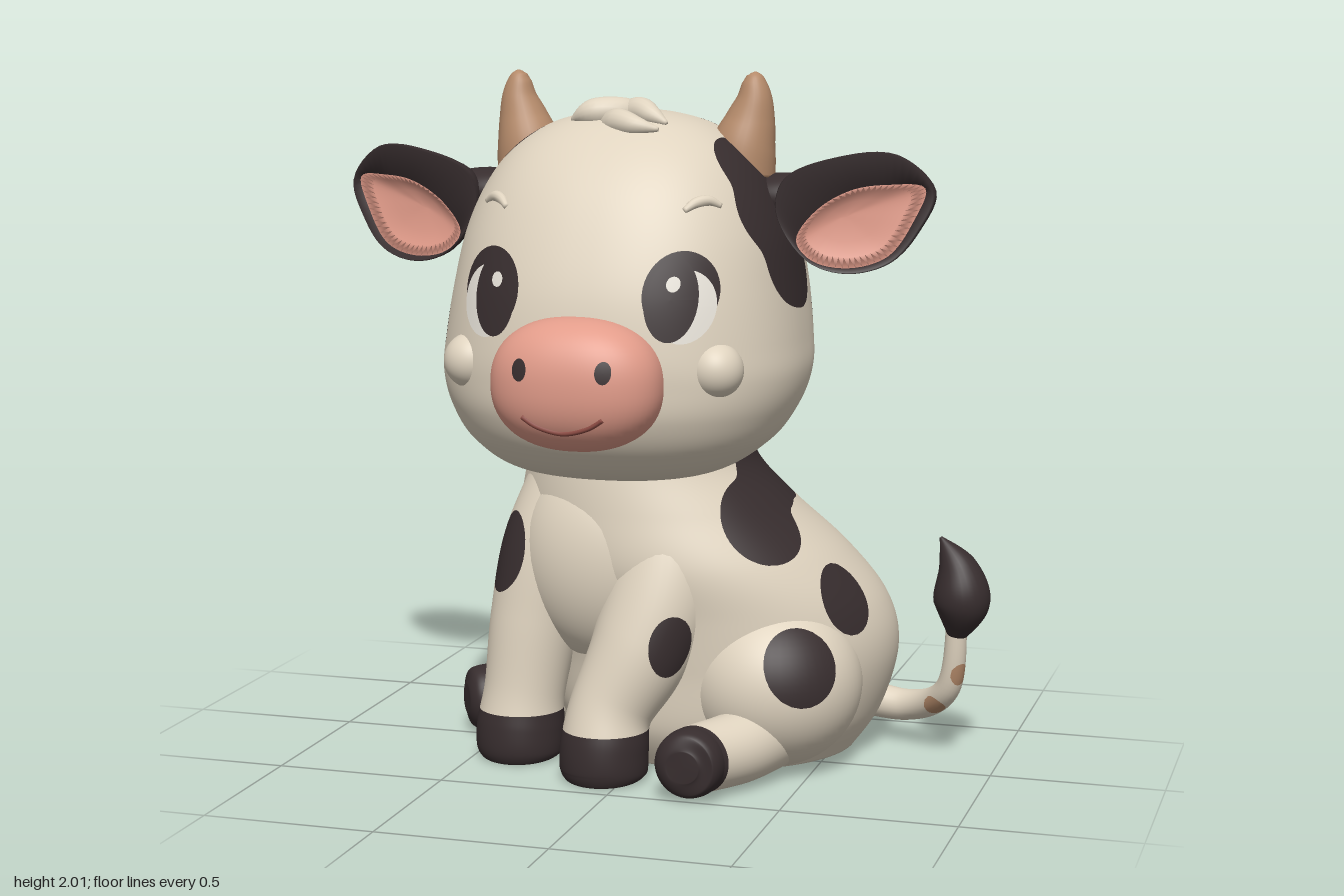
import * as THREE from 'three';

const mat = (name, color) => Object.assign(new THREE.MeshStandardMaterial({ color }), { name });
const V = (x, y, z) => new THREE.Vector3(x, y, z);

// Smooth interpolation down the columns of a small table, t = 0..1
const sample = (rows, t) => rows[0].map((_, c) =>
  new THREE.SplineCurve(rows.map(r => new THREE.Vector2(r[c], 0))).getPoint(t).x);

// Skin over rings of points, closed at both ends
function loft(rings) {
  const mid = ring => ring.reduce((s, p) => s.add(p), V(0, 0, 0)).divideScalar(ring.length);
  const n = rings[0].length, index = [];
  const first = mid(rings[0]), last = mid(rings[rings.length - 1]);
  const all = [rings[0].map(() => first), ...rings, rings[0].map(() => last)];
  for (let i = 0; i < all.length - 1; i++) for (let j = 0; j < n; j++) {
    const a = i * n + j, b = i * n + (j + 1) % n;
    if (i > 0) index.push(a, b, a + n);
    if (i < all.length - 2) index.push(b, b + n, a + n);
  }
  const g = new THREE.BufferGeometry().setFromPoints(all.flat());
  g.setIndex(index);
  g.computeVertexNormals();
  return g;
}

// Tapered limb along rows of [x, y, z, radius]
function limb(rows, seg = 32, sides = 32, ref = V(0, 0, 1)) {
  return loft(Array.from({ length: seg + 1 }, (_, i) => {
    const t = i / seg, [x, y, z, r] = sample(rows, t);
    const T = V(...sample(rows, Math.min(1, t + 0.01))).sub(V(...sample(rows, Math.max(0, t - 0.01)))).normalize();
    const n = ref.clone().cross(T).normalize(), b = T.clone().cross(n), s = Math.max(r, 0.001);
    return Array.from({ length: sides }, (_, j) => {
      const a = j / sides * Math.PI * 2;
      return V(x, y, z).addScaledVector(n, s * Math.cos(a)).addScaledVector(b, s * Math.sin(a));
    });
  }));
}

// Cut a surface where a field is zero: the negative side becomes the second colour group
function paint(g, field) {
  const pos = [...g.attributes.position.array], nor = [...g.attributes.normal.array], ix = g.index.array;
  const plain = [], marked = [], f = [];
  for (let i = 0; i < pos.length; i += 3) f.push(field(V(pos[i], pos[i + 1], pos[i + 2])));
  const cut = (a, b) => {
    const t = f[a] / (f[a] - f[b]);
    for (const arr of [pos, nor]) for (let k = 0; k < 3; k++)
      arr.push(arr[a * 3 + k] * (1 - t) + arr[b * 3 + k] * t);
    return pos.length / 3 - 1;
  };
  for (let i = 0; i < ix.length; i += 3) {
    const tri = [ix[i], ix[i + 1], ix[i + 2]], count = tri.filter(v => f[v] < 0).length;
    if (count % 3 === 0) { (count ? marked : plain).push(...tri); continue; }
    const k = tri.findIndex(v => (f[v] < 0) === (count === 1));
    const a = tri[k], b = tri[(k + 1) % 3], c = tri[(k + 2) % 3], p = cut(a, b), q = cut(a, c);
    (count === 1 ? marked : plain).push(a, p, q);
    (count === 1 ? plain : marked).push(p, b, c, p, c, q);
  }
  const out = new THREE.BufferGeometry();
  out.setAttribute('position', new THREE.Float32BufferAttribute(pos, 3));
  out.setAttribute('normal', new THREE.Float32BufferAttribute(nor, 3));
  out.setIndex([...plain, ...marked]);
  out.addGroup(0, plain.length, 0);
  out.addGroup(plain.length, marked.length, 1);
  return out;
}

// Melting spots [x, y, z, radius, vertical stretch]; with a centre they are projected outward from it
const spotted = (list, centre) => p => -Math.log(list.reduce((sum, [x, y, z, r, k = 1]) => {
  const s = V(x, y, z), q = p.clone();
  if (centre) {
    s.sub(centre);
    q.sub(centre).setLength(s.length());
  }
  q.sub(s);
  return sum + Math.exp(-45 * (Math.hypot(q.x, q.y / k, q.z) - r));
}, 0)) / 45;

function mirrorX(g) {
  const m = g.clone().scale(-1, 1, 1), a = m.index.array;
  for (let i = 0; i < a.length; i += 3) [a[i], a[i + 1]] = [a[i + 1], a[i]];
  m.computeVertexNormals();
  return m;
}

// Ellipsoid, boxier when e is above 2
function ball(rx, ry, rz, x, y, z, e = 2) {
  const g = new THREE.SphereGeometry(1, 56, 36), p = g.attributes.position;
  for (let i = 0; i < p.count; i++) {
    const q = V(0, 0, 0).fromBufferAttribute(p, i);
    q.divideScalar((Math.abs(q.x) ** e + Math.abs(q.y) ** e + Math.abs(q.z) ** e) ** (1 / e));
    p.setXYZ(i, x + q.x * rx, y + q.y * ry, z + q.z * rz);
  }
  g.computeVertexNormals();
  return g;
}

// Stack of superellipse rings from rows [y, cx, cz, rx, rz]
function stack(rows, seg, sides, e) {
  const pw = v => Math.sign(v) * Math.abs(v) ** (2 / e);
  return loft(Array.from({ length: seg + 1 }, (_, i) => {
    const [y, cx, cz, rx, rz] = sample(rows, i / seg);
    return Array.from({ length: sides }, (_, j) => {
      const a = j / sides * Math.PI * 2;
      return V(cx + rx * pw(Math.sin(a)), y, cz + rz * pw(Math.cos(a)));
    });
  }));
}

// Thin elliptical plate lying on a surface z = surf(x, y)
function decal(surf, x, y, rx, ry, lift) {
  const g = new THREE.RingGeometry(0, 1, 40, 6).scale(rx, ry, 1).translate(x, y, 0), p = g.attributes.position;
  for (let i = 0; i < p.count; i++) p.setZ(i, surf(p.getX(i), p.getY(i)) + lift);
  g.computeVertexNormals();
  return g;
}

export function createModel() {
  const cream = mat('cream hide', 0xdfd3bf), dark = mat('dark hide', 0x372d2e);
  const pink = mat('pink skin', 0xe29c8a), horn = mat('horn', 0xb48a6a);
  const white = mat('eye white', 0xf3eee4), rose = mat('mouth line', 0x8a4a42);
  const model = new THREE.Group(), body = new THREE.Group(), head = new THREE.Group(), hide = [cream, dark];
  body.name = 'body'; head.name = 'head';
  head.position.x = -0.083;
  model.add(body, head);
  const add = (parent, name, g, m) => parent.add(Object.assign(new THREE.Mesh(g, m), { name }));

  // Torso, chest and thighs
  const torso = stack([[0, 0.14, -0.19, 0.41, 0.39], [0.12, 0.14, -0.185, 0.49, 0.45], [0.3, 0.15, -0.185, 0.53, 0.465],
    [0.45, 0.12, -0.17, 0.53, 0.465], [0.6, 0.05, -0.13, 0.49, 0.45], [0.75, -0.02, -0.08, 0.41, 0.385],
    [0.88, -0.06, -0.05, 0.34, 0.335], [1.0, -0.06, -0.05, 0.32, 0.31]], 80, 120, 2);
  add(body, 'torso', paint(torso, spotted([[0.36, 0.73, 0.13, 0.135], [0.32, 0.83, -0.03, 0.11], [0.33, 0.84, -0.15, 0.09],
    [0.3, 0.84, -0.25, 0.08], [0.25, 0.81, -0.38, 0.08], [0.57, 0.5, 0.03, 0.09, 1.2], [0.53, 0.34, -0.45, 0.135, 1.1],
    [0.29, 0.58, -0.54, 0.125], [-0.07, 0.6, -0.53, 0.12], [-0.37, 0.55, -0.2, 0.12]], V(0.1, 0.4, -0.15))), hide);
  add(body, 'chest', ball(0.28, 0.32, 0.22, -0.11, 0.6, 0.1), cream);
  add(body, 'leftThigh', paint(ball(0.26, 0.25, 0.26, 0.37, 0.25, 0.07),
    spotted([[0.48, 0.33, 0.23, 0.09, 1.1]], V(0.37, 0.25, 0.07))), hide);
  add(body, 'rightThigh', paint(ball(0.24, 0.25, 0.23, -0.15, 0.25, -0.37),
    spotted([[-0.27, 0.2, -0.55, 0.095]], V(-0.15, 0.25, -0.37))), hide);

  // Hind legs stretched forward, hooves at the tips
  const up = V(0, 1, 0);
  add(body, 'leftHindLeg', paint(limb([[0.39, 0.13, 0.1, 0.12], [0.33, 0.105, 0.28, 0.105], [0.25, 0.1, 0.42, 0.098],
    [0.235, 0.1, 0.48, 0.098], [0.23, 0.1, 0.515, 0.086], [0.23, 0.1, 0.53, 0.045]], 50, 44, up),
    spotted([[0.225, 0.1, 0.54, 0.145]])), hide);
  add(body, 'rightHindLeg', paint(limb([[-0.26, 0.13, -0.28, 0.12], [-0.39, 0.105, -0.18, 0.105], [-0.52, 0.1, -0.07, 0.098],
    [-0.565, 0.1, -0.035, 0.098], [-0.595, 0.1, -0.01, 0.086], [-0.61, 0.1, 0.0, 0.045]], 50, 44, up),
    spotted([[-0.62, 0.1, 0.01, 0.145]])), hide);

  // Front legs
  const foreSpots = spotted([[-0.4, 0.61, 0.2, 0.085, 1.5], [0.165, 0.39, 0.37, 0.08, 1.25]]);
  const fore = p => Math.min(p.y - 0.14, foreSpots(p));
  add(body, 'rightFrontLeg', paint(limb([[-0.22, 0.86, 0.05, 0.13], [-0.29, 0.62, 0.1, 0.15], [-0.335, 0.4, 0.14, 0.135],
    [-0.36, 0.2, 0.17, 0.12], [-0.37, 0.09, 0.18, 0.13], [-0.37, 0.02, 0.185, 0.128], [-0.37, 0, 0.185, 0.11]], 72, 48), fore), hide);
  add(body, 'leftFrontLeg', paint(limb([[0.06, 0.8, 0.05, 0.17], [0.08, 0.58, 0.16, 0.17], [0.03, 0.37, 0.25, 0.15],
    [-0.045, 0.2, 0.31, 0.122], [-0.06, 0.09, 0.335, 0.128], [-0.06, 0.02, 0.34, 0.126], [-0.06, 0, 0.34, 0.11]], 72, 48), fore), hide);

  // Tail with tuft
  add(body, 'tail', paint(limb([[0.45, 0.15, -0.3, 0.06], [0.69, 0.11, -0.28, 0.047], [0.84, 0.2, -0.17, 0.037],
    [0.87, 0.42, -0.14, 0.03]], 40, 24), spotted([[0.89, 0.25, -0.13, 0.035], [0.8, 0.14, -0.17, 0.035]])), [cream, horn]);
  add(body, 'tailTuft', limb([[0.87, 0.37, -0.14, 0.03], [0.885, 0.47, -0.13, 0.082], [0.87, 0.57, -0.13, 0.06],
    [0.82, 0.66, -0.13, 0.004]], 30, 28), dark);

  // Skull: rows [y, half width, front z, back z]
  const skull = [[0.835, 0.02, 0.17, 0.13], [0.87, 0.29, 0.35, -0.12], [0.95, 0.43, 0.455, -0.31], [1.05, 0.5, 0.51, -0.43],
    [1.15, 0.53, 0.522, -0.485], [1.25, 0.525, 0.52, -0.52], [1.4, 0.505, 0.495, -0.535], [1.55, 0.475, 0.44, -0.495],
    [1.68, 0.42, 0.37, -0.42], [1.78, 0.345, 0.285, -0.325], [1.85, 0.24, 0.19, -0.22], [1.885, 0.12, 0.09, -0.12],
    [1.895, 0.01, 0, -0.02]].map(([y, w, f, b]) => [y, 0, (f + b) / 2, w, (f - b) / 2]);
  add(head, 'skull', paint(stack(skull, 100, 140, 2.3), spotted([
    [0.45, 1.62, 0.13, 0.12], [0.48, 1.47, 0.07, 0.12], [0.49, 1.44, -0.01, 0.1], [0.36, 1.73, 0.08, 0.11], [0.44, 1.62, -0.05, 0.11],
    [-0.32, 1.76, -0.03, 0.14], [-0.24, 1.78, -0.22, 0.12], [-0.42, 1.6, -0.12, 0.13], [-0.36, 1.7, -0.15, 0.12],
    [0.11, 1.82, -0.27, 0.12], [0.19, 1.8, -0.16, 0.09], [0.22, 1.57, -0.44, 0.1, 1.2],
    [0.42, 1.3, -0.28, 0.135], [-0.42, 1.28, -0.23, 0.13], [-0.52, 1.27, 0.13, 0.12]], V(0, 1.35, 0))), hide);
  const faceZ = (x, y) => {
    let lo = 0, hi = 1;
    for (let i = 0; i < 18; i++) {
      const m = (lo + hi) / 2;
      if (sample(skull, m)[0] < y) lo = m; else hi = m;
    }
    const [, , cz, rx, rz] = sample(skull, lo);
    return cz + rz * Math.max(0, 1 - Math.abs(x / rx) ** 2.3) ** (1 / 2.3);
  };

  // Muzzle
  const e = 2.3;
  add(head, 'muzzle', ball(0.245, 0.187, 0.16, 0, 1.16, 0.495, e), pink);
  const muzzleZ = (x, y) => 0.495 + 0.16 * Math.max(0, 1 - Math.abs(x / 0.245) ** e - Math.abs((y - 1.16) / 0.187) ** e) ** (1 / e);
  add(head, 'smile', limb([-0.115, -0.07, 0, 0.07, 0.115].map(x => {
    const y = 1.04 + 3.2 * x * x;
    return [x, y, muzzleZ(x, y), 0.007];
  }), 28, 8), rose);

  // Ear: rounded back, rim, pink hollow (matched outlines)
  const closed = pts => new THREE.CatmullRomCurve3(pts.map(([x, y]) => V(x, y, 0)), true).getPoints(54).slice(0, 54);
  const rim = closed([[0.888, 1.67], [0.783, 1.775], [0.623, 1.768], [0.473, 1.705], [0.45, 1.61], [0.538, 1.475],
    [0.653, 1.438], [0.773, 1.47], [0.848, 1.56]]);
  const inner = closed([[0.86, 1.68], [0.763, 1.69], [0.663, 1.675], [0.563, 1.615], [0.508, 1.53], [0.553, 1.474],
    [0.658, 1.454], [0.763, 1.487], [0.83, 1.585]]);
  const ring = (pts, s, dz) => pts.map(p => {
    const x = 0.64 + (p.x - 0.64) * s;
    return V(x, 1.6 + (p.y - 1.6) * s, 0.065 - 0.6 * Math.max(0, x - 0.47) ** 2 + dz);
  });
  const ear = loft([...[0.08, 0.3, 0.5, 0.7, 0.84, 0.94, 0.99].map(s => ring(rim, s, -0.2 * Math.sqrt(1 - s * s))),
    ring(rim, 1, 0), ring(rim, 0.975, 0.012), ring(inner, 1, -0.008), ring(inner, 0.9, -0.05), ring(inner, 0.1, -0.07)]);
  const hollow = loft([ring(inner, 1, -0.006), ring(inner, 0.8, -0.02), ring(inner, 0.5, -0.032), ring(inner, 0.1, -0.036)]);
  const hornShape = limb([[0.315, 1.72, -0.04, 0.105], [0.327, 1.79, -0.04, 0.094], [0.345, 1.86, -0.045, 0.074],
    [0.357, 1.92, -0.045, 0.054], [0.356, 1.97, -0.045, 0.036], [0.352, 1.993, -0.045, 0.02], [0.35, 1.999, -0.045, 0.006]], 40, 28);

  for (const [side, s] of [['left', 1], ['right', -1]]) {
    const face = g => s > 0 ? g : mirrorX(g);
    add(head, side + 'Ear', face(ear), dark);
    add(head, side + 'EarHollow', face(hollow), pink);
    add(head, side + 'EarRoot', ball(0.17, 0.07, 0.1, s * 0.45, 1.645, -0.05), dark);
    add(head, side + 'Horn', face(hornShape), horn);
    add(head, side + 'Cheek', ball(0.08, 0.08, 0.08, s * 0.358, 1.195, 0.368), cream);
    // Eye layers
    add(head, side + 'Lashes', decal(faceZ, s * 0.275, 1.41, 0.096, 0.115, 0.004), dark);
    add(head, side + 'EyeWhite', decal(faceZ, s * 0.287, 1.375, 0.08, 0.1, 0.007), white);
    add(head, side + 'Iris', decal(faceZ, s * 0.255, 1.395, 0.069, 0.115, 0.01), dark);
    add(head, side + 'Glint', decal(faceZ, s * 0.255 + 0.005, 1.437, 0.018, 0.021, 0.013), white);
    add(head, side + 'Nostril', decal(muzzleZ, s * 0.12, 1.212, 0.022, 0.031, 0.004), dark);
    add(head, side + 'Brow', limb([[0.26, 1.63], [0.285, 1.65], [0.315, 1.655], [0.345, 1.64]].map(([x, y], i) =>
      [s * x, y, faceZ(x, y), i % 3 ? 0.015 : 0.008]), 16, 12), cream);
  }

  // Forelock
  [[[0.02, 1.86, 0.02, 0.05], [0.0, 1.885, 0.08, 0.045], [-0.08, 1.885, 0.12, 0.04], [-0.14, 1.865, 0.12, 0.006]],
    [[0.0, 1.86, 0.04, 0.05], [0.05, 1.89, 0.08, 0.042], [0.1, 1.88, 0.12, 0.03], [0.15, 1.86, 0.14, 0.006]],
    [[-0.02, 1.84, 0.1, 0.05], [0.01, 1.86, 0.15, 0.042], [0.07, 1.855, 0.19, 0.03], [0.14, 1.845, 0.19, 0.006]]]
    .forEach(rows => add(head, 'forelock', limb(rows, 18, 16), cream));

  return model;
}
